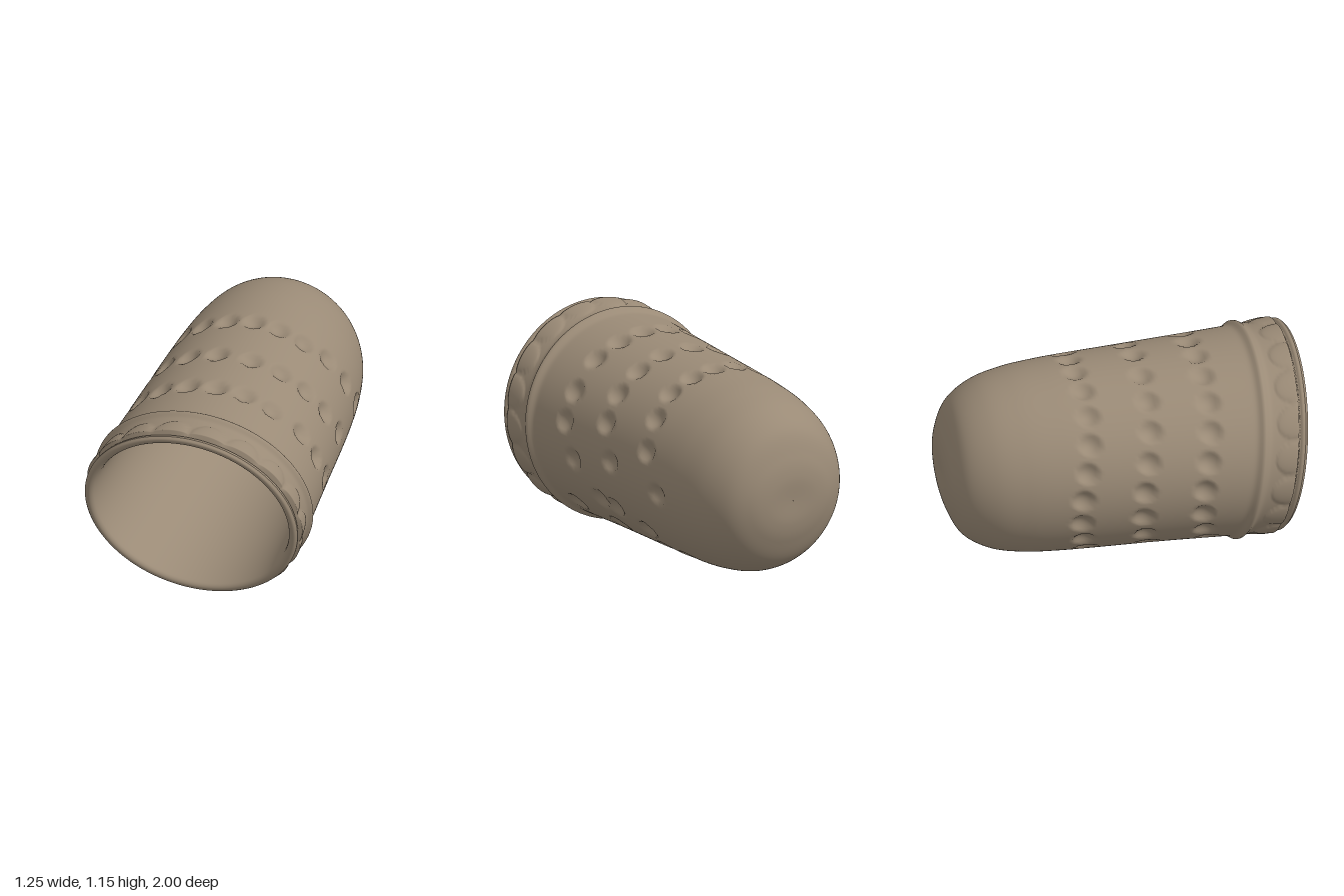
import * as THREE from 'three';

const RAD = Math.PI / 180;
const AROUND = 240;

// Profiles: distance along the axis, half width, half height
const OUTER = [
  [-1, 0.002, 0.002], [-1, 0.17, 0.14], [-0.975, 0.27, 0.245], [-0.905, 0.375, 0.385], [-0.77, 0.455, 0.475],
  [-0.6, 0.5, 0.517], [-0.4, 0.528, 0.532], [-0.2, 0.546, 0.536], [0, 0.56, 0.538], [0.2, 0.574, 0.541],
  [0.4, 0.588, 0.545], [0.55, 0.598, 0.549], [0.66, 0.602, 0.553], [0.74, 0.604, 0.555], [0.82, 0.607, 0.556], [0.885, 0.61, 0.558],
];
const INNER = [
  [0.885, 0.61, 0.558], [0.9, 0.597, 0.545], [0.9, 0.577, 0.525], [0.88, 0.56, 0.508], [0.75, 0.545, 0.498],
  [0.3, 0.52, 0.485], [-0.3, 0.48, 0.47], [-0.7, 0.42, 0.42], [-0.85, 0.32, 0.32], [-0.91, 0.16, 0.16], [-0.92, 0.002, 0.002],
];

// Dimples as [degrees from the top, z]: hand-punched on the left, even rows on the right
const DIMPLES = [
  [0, -0.24], [15.5, -0.24], [32, -0.24], [50, -0.28], [70, -0.32], [93, -0.44], [126, -0.24], [146, -0.25], [148, -0.42], [160, -0.23],
  [10, 0.11], [28, 0.1], [46, 0.09], [64, 0.06], [85, -0.04], [116, -0.02], [114, 0.1], [136, 0.09], [160, 0.1],
  [0, 0.44], [16, 0.43], [33, 0.43], [55, 0.4], [73, 0.38], [93, 0.28], [129, 0.4], [150, 0.43], [170, 0.42],
];
for (let i = 0; i < 10; i++) {
  const dip = 0.09 * Math.sin((i + 0.5) * 17 * RAD) ** 4;
  DIMPLES.push([-16 - i * 17, -0.23 - dip], [-10 - i * 18, 0.11 - dip], [-16 - i * 17, 0.44 - dip]);
}

const smooth = (x, a, b) => THREE.MathUtils.smoothstep(x, a, b);
const angleGap = (a, b) => Math.atan2(Math.sin(a - b), Math.cos(a - b));

// Relief of the outer wall: punched dimples, bead, lip groove and scallops
function relief(theta, s, z) {
  let h = 0;
  if (s > -0.6 && s < 0.56) {
    for (const [deg, dz] of DIMPLES) {
      const d = Math.hypot(angleGap(theta, deg * RAD) * 0.56, z - dz) / 0.066;
      if (d < 1) h = Math.min(h, -0.032 * (1 - d * d));
    }
  }
  h += 0.024 * Math.exp(-(((s - 0.655) / 0.025) ** 2));
  h -= 0.014 * Math.exp(-(((s - 0.855) / 0.008) ** 2));
  if (s > 0.6 && s < 0.85) {
    const step = (Math.PI * 2) / 18;
    const across = (theta / step - Math.floor(theta / step) - 0.5) * 2;
    const d = Math.hypot(across, (s - 0.85) / 0.125);
    if (d < 1) h += 0.017 * Math.sqrt(1 - d * d);
  }
  return h;
}

// Closed oval rings along a profile; the open end is sheared to slant the mouth
function loft(profile, samples, height) {
  const curve = new THREE.CatmullRomCurve3(profile.map((p) => new THREE.Vector3(...p)));
  const stations = curve.getPoints((profile.length - 1) * samples);
  const pos = [], index = [];
  stations.forEach(({ x: s, y: a, z: b }, i) => {
    const slant = 0.18 * smooth(s, 0.15, 0.65);
    const cy = 0.583 - 0.013 * smooth(s, -0.6, 0.7);
    for (let j = 0; j < AROUND; j++) {
      const theta = (j / AROUND) * Math.PI * 2;
      const sin = Math.sin(theta), cos = Math.cos(theta);
      const z = s + slant * b * cos;
      const h = height ? height(theta, s, z) : 0;
      pos.push((a + h) * sin, cy + (b + h) * cos, z);
      if (i === stations.length - 1) continue;
      const p = i * AROUND + j, q = i * AROUND + ((j + 1) % AROUND);
      index.push(p, p + AROUND, q, q, p + AROUND, q + AROUND);
    }
  });
  const geo = new THREE.BufferGeometry();
  geo.setAttribute('position', new THREE.Float32BufferAttribute(pos, 3));
  geo.setIndex(index);
  geo.computeVertexNormals();
  return geo;
}

export function createModel() {
  const group = new THREE.Group();
  group.name = 'thimble';
  const metal = new THREE.MeshStandardMaterial({ color: 0x9a8a76 });
  metal.name = 'dull bronze';

  // Dimpled outer wall with scalloped band
  const shell = new THREE.Mesh(loft(OUTER, 11, relief), metal);
  shell.name = 'outerShell';

  // Rolled rim and hollow inside
  const lining = new THREE.Mesh(loft(INNER, 5), metal);
  lining.name = 'rimAndLining';

  group.add(shell, lining);
  return group;
}
